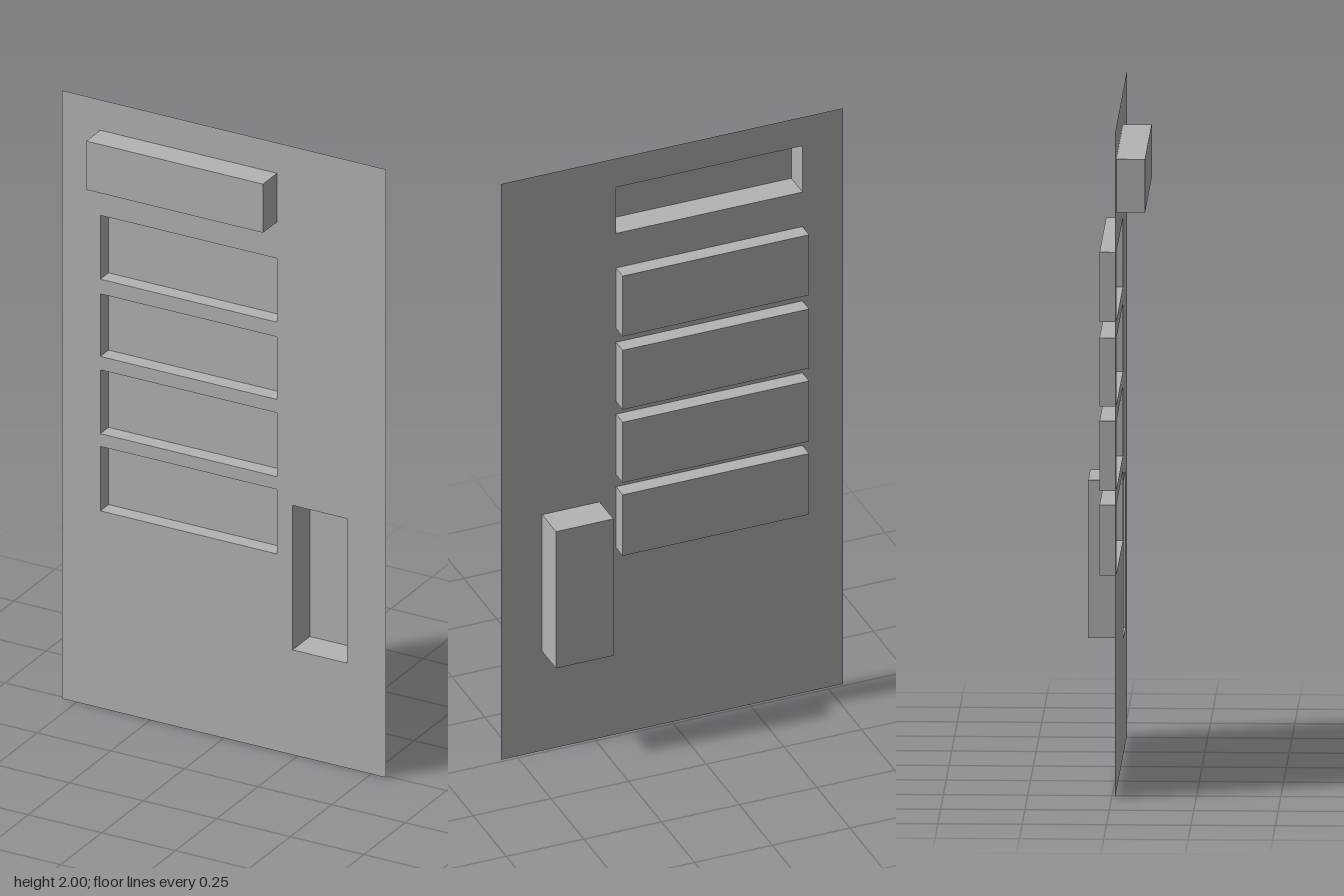
import * as THREE from 'three';

const SHEET_Z = 0.01;

// Rectangular openings: every one is pressed forward or backward to depth z
const PRESSINGS = [
  { name: 'raisedLabelPanel', x: [-0.42, 0.18], y: [1.74, 1.9], z: 0.095 },
  { name: 'upperRecess', x: [-0.42, 0.18], y: [1.41, 1.62], z: -0.04 },
  { name: 'upperMiddleRecess', x: [-0.42, 0.18], y: [1.156, 1.362], z: -0.04 },
  { name: 'lowerMiddleRecess', x: [-0.42, 0.18], y: [0.902, 1.112], z: -0.04 },
  { name: 'lowerRecess', x: [-0.42, 0.18], y: [0.648, 0.86], z: -0.04 },
  { name: 'deepPocket', x: [0.233, 0.418], y: [0.345, 0.82], z: -0.095 },
];

// Trace a closed rectangle on a Shape or Path
function rect(path, [x0, x1], [y0, y1]) {
  path.moveTo(x0, y0);
  path.lineTo(x1, y0);
  path.lineTo(x1, y1);
  path.lineTo(x0, y1);
  path.closePath();
  return path;
}

// Box without the side that lies in the sheet plane
function openBox({ x, y, z }) {
  const depth = Math.abs(z - SHEET_Z);
  const geo = new THREE.BoxGeometry(x[1] - x[0], y[1] - y[0], depth);
  const openSide = z < SHEET_Z ? 4 : 5; // +z or -z face
  const index = Array.from(geo.index.array);
  index.splice(openSide * 6, 6);
  geo.setIndex(index);
  geo.clearGroups();
  geo.translate((x[0] + x[1]) / 2, (y[0] + y[1]) / 2, (z + SHEET_Z) / 2);
  return geo;
}

export function createModel() {
  const model = new THREE.Group();
  model.name = 'pressedPanel';
  const grey = new THREE.MeshStandardMaterial({ color: 0xb4b4b4, side: THREE.DoubleSide });
  grey.name = 'grey';

  // Thin face sheet with an opening at each pressing
  const outline = rect(new THREE.Shape(), [-0.55, 0.55], [0, 2]);
  for (const p of PRESSINGS) outline.holes.push(rect(new THREE.Path(), p.x, p.y));
  const sheet = new THREE.Mesh(new THREE.ShapeGeometry(outline), grey);
  sheet.name = 'faceSheet';
  sheet.position.z = SHEET_Z;
  model.add(sheet);

  // Raised panel, recesses and pocket
  for (const p of PRESSINGS) {
    const mesh = new THREE.Mesh(openBox(p), grey);
    mesh.name = p.name;
    model.add(mesh);
  }
  return model;
}
